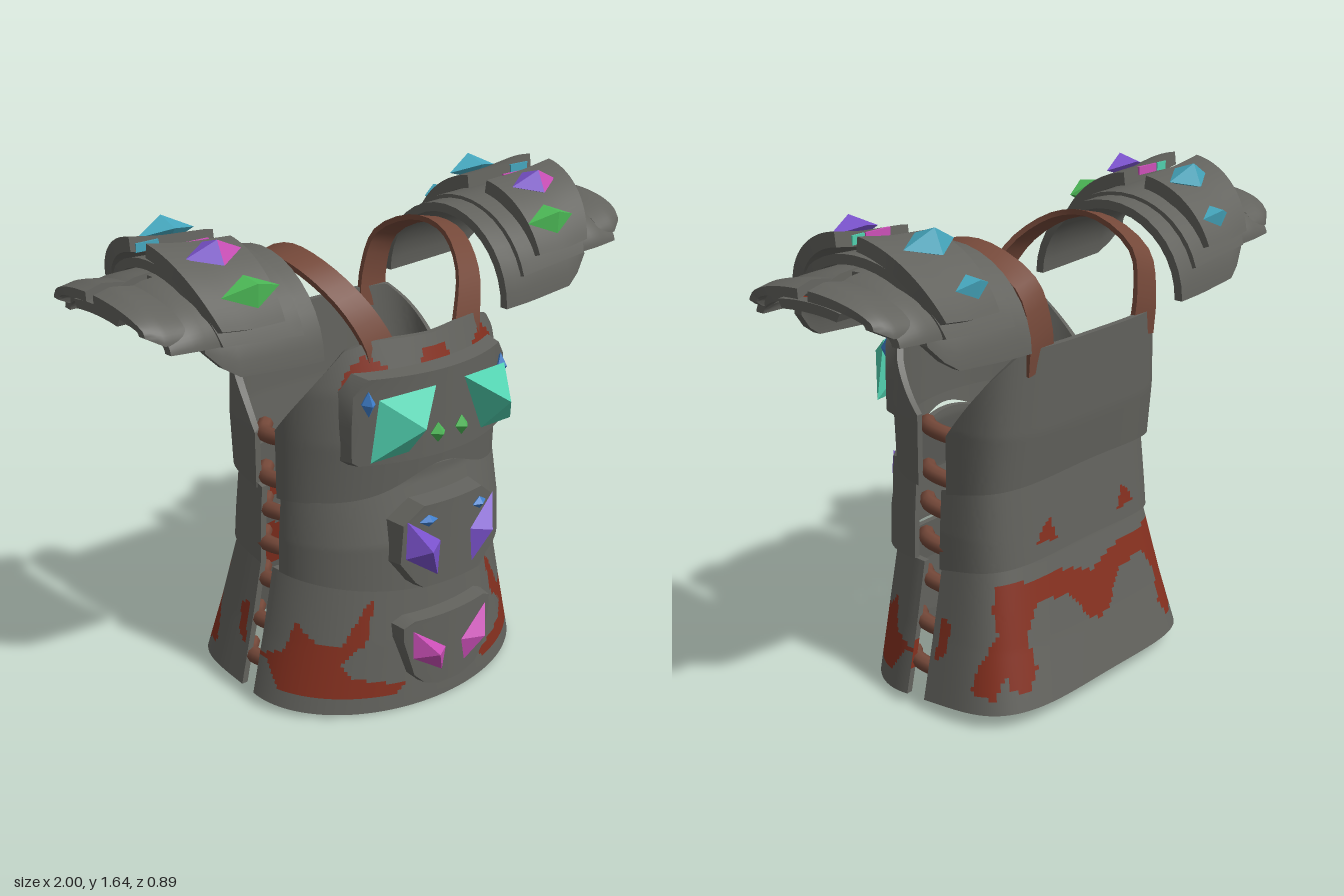
import * as THREE from 'three';
import { toCreasedNormals } from 'three/addons/utils/BufferGeometryUtils.js';

const material = (name, color) => Object.assign(new THREE.MeshStandardMaterial({ color }), { name });
const DEG = Math.PI / 180;

// Piecewise-linear lookup in rows [key, a, b, ...]
function rowAt(rows, key) {
  let i = 0;
  while (i < rows.length - 2 && key > rows[i + 1][0]) i++;
  const p = rows[i], q = rows[i + 1];
  const t = THREE.MathUtils.clamp((key - p[0]) / (q[0] - p[0]), 0, 1);
  return p.map((value, j) => value + (q[j] - value) * t);
}

// Closed curved plate: P(u, v, k) gives the outer (k = 0) and inner (k = 1) skin
function slab(P, nu, nv, stained = () => false) {
  const pts = [], groups = [[], []];
  for (let k = 0; k < 2; k++)
    for (let j = 0; j <= nv; j++)
      for (let i = 0; i <= nu; i++) pts.push(new THREE.Vector3(...P(i / nu, j / nv, k)));
  const id = (i, j, k) => (k * (nv + 1) + j) * (nu + 1) + i;
  const quad = (a, b, c, d) => {
    const mid = pts[a].clone().add(pts[b]).add(pts[c]).add(pts[d]).multiplyScalar(0.25);
    groups[stained(mid) ? 1 : 0].push(a, b, c, a, c, d);
  };
  for (let j = 0; j < nv; j++) {
    for (let i = 0; i < nu; i++) {
      quad(id(i, j, 0), id(i + 1, j, 0), id(i + 1, j + 1, 0), id(i, j + 1, 0));
      quad(id(i, j, 1), id(i, j + 1, 1), id(i + 1, j + 1, 1), id(i + 1, j, 1));
    }
    quad(id(0, j, 0), id(0, j + 1, 0), id(0, j + 1, 1), id(0, j, 1));
    quad(id(nu, j, 0), id(nu, j, 1), id(nu, j + 1, 1), id(nu, j + 1, 0));
  }
  for (let i = 0; i < nu; i++) {
    quad(id(i, 0, 0), id(i, 0, 1), id(i + 1, 0, 1), id(i + 1, 0, 0));
    quad(id(i, nv, 0), id(i + 1, nv, 0), id(i + 1, nv, 1), id(i, nv, 1));
  }
  // Turn the faces outward when the enclosed volume is negative
  const index = groups.flat(), cross = new THREE.Vector3();
  let volume = 0;
  for (let n = 0; n < index.length; n += 3)
    volume += pts[index[n]].dot(cross.crossVectors(pts[index[n + 1]], pts[index[n + 2]]));
  if (volume < 0)
    for (let n = 0; n < index.length; n += 3) [index[n], index[n + 1]] = [index[n + 1], index[n]];
  const geo = new THREE.BufferGeometry().setFromPoints(pts);
  geo.setIndex(index);
  geo.addGroup(0, groups[0].length, 0);
  if (groups[1].length) geo.addGroup(groups[0].length, groups[1].length, 1);
  return toCreasedNormals(geo, 0.6);
}

// Stain test: polygons in mirrored elevation, across x (front) or z (side)
const stain = (axis, ...polys) => p => polys.some(poly => {
  const x = Math.abs(p[axis]);
  let inside = false;
  poly.forEach(([ax, ay], i) => {
    const [bx, by] = poly[(i + 1) % poly.length];
    if ((ay > p.y) !== (by > p.y) && x < ax + (p.y - ay) / (by - ay) * (bx - ax)) inside = !inside;
  });
  return inside;
});

export function createModel() {
  const model = new THREE.Group();
  model.name = 'armour';
  const iron = material('dark iron', 0x62625d), rust = material('rust red', 0x85301f);
  const leather = material('brown leather', 0x744839), teal = material('teal crystal', 0x50cfae);
  const purple = material('purple crystal', 0x7a52cc), pink = material('pink crystal', 0xcc50b8);
  const green = material('green crystal', 0x4cb856), cyan = material('cyan crystal', 0x45a6bd);
  const blue = material('blue crystal', 0x3f7fcc);
  const add = (name, geo, mat) => {
    const mesh = new THREE.Mesh(geo, mat);
    mesh.name = name;
    model.add(mesh);
    return mesh;
  };

  // Torso shells: rows are [y, half width, depth from the edge plane z0]
  function shell(name, dir, z0, rows, bottom, top, stained) {
    const n = dir > 0 ? 2 : 4;
    add(name, slab((u, v, k) => {
      const a = (u * 2 - 1) * Math.PI / 2, s = Math.sin(a), c = Math.max(0, Math.cos(a));
      const r = (Math.abs(s) ** n + c ** n) ** (-1 / n);
      const y = THREE.MathUtils.lerp(bottom(c, Math.abs(a) / DEG), top(c, Math.abs(a) / DEG), v);
      const [, w, d] = rowAt(rows, y);
      return [(w - k * 0.022) * r * s, y, z0 + dir * (d - k * 0.022) * r * c];
    }, 110, 32, stained), [iron, rust]);
  }
  const chestTop = [[0, 1.265], [30, 1.275], [45, 1.25], [60, 1.16], [90, 0.97]];
  shell('frontChest', 1, 0.015, [[0.72, 0.435, 0.295], [0.95, 0.435, 0.315], [1.12, 0.435, 0.295], [1.28, 0.42, 0.245]],
    c => 0.735 + 0.03 * c + 0.08 * c ** 12, (c, a) => rowAt(chestTop, a)[1],
    stain('x', [[0.16, 1.17], [0.33, 1.12], [0.3, 1.19], [0.25, 1.235], [0.2, 1.21]],
      [[-0.01, 1.17], [0.07, 1.17], [0.04, 1.225], [-0.01, 1.23]]));
  shell('frontWaist', 1, 0.03, [[0.42, 0.445, 0.32], [0.6, 0.44, 0.315], [0.8, 0.425, 0.27]],
    c => 0.48 - 0.05 * c ** 2, c => 0.77 + 0.06 * c ** 8);
  shell('frontSkirt', 1, -0.01, [[0.01, 0.54, 0.37], [0.25, 0.485, 0.355], [0.5, 0.435, 0.33]],
    c => 0.04 - 0.035 * c, c => 0.48 - 0.06 * c ** 3,
    stain('x', [[0.24, 0.41], [0.28, 0.37], [0.35, 0.25], [0.42, 0.27], [0.44, 0.33], [0.47, 0.23], [0.5, 0.19],
      [0.505, 0.09], [0.33, 0.07], [0.2, 0.06], [0.16, 0.1], [0.24, 0.11], [0.33, 0.14], [0.36, 0.19], [0.28, 0.26]]));
  shell('backChest', -1, -0.1, [[0.7, 0.43, 0.23], [0.95, 0.43, 0.255], [1.24, 0.41, 0.265]],
    c => 0.73 + 0.06 * c, (c, a) => 1.225 - 0.3 * Math.max(0, a - 42) / 48);
  shell('backWaist', -1, -0.075, [[0.45, 0.44, 0.27], [0.6, 0.435, 0.255], [0.82, 0.42, 0.235]],
    c => 0.47 + 0.05 * c, c => 0.74 + 0.06 * c,
    stain('x', [[0.16, 0.56], [0.25, 0.57], [0.22, 0.62], [0.19, 0.64]]));
  const backStain = stain('x', [[-0.01, 0.4], [0.1, 0.44], [0.2, 0.46], [0.4, 0.45], [0.42, 0.3], [0.43, 0.13], [0.37, 0.11],
    [0.33, 0.18], [0.34, 0.28], [0.28, 0.38], [0.15, 0.37], [0.1, 0.33], [0.06, 0.26], [-0.01, 0.24]]);
  const sideStain = stain('z', [[0.1, 0.18], [0.14, 0.2], [0.15, 0.3], [0.11, 0.33]],
    [[0.26, 0.12], [0.34, 0.1], [0.36, 0.28], [0.32, 0.46], [0.28, 0.46], [0.28, 0.38], [0.31, 0.3], [0.27, 0.2]]);
  shell('backSkirt', -1, -0.08, [[0.03, 0.53, 0.37], [0.25, 0.48, 0.31], [0.52, 0.425, 0.245]],
    c => 0.04 + 0.025 * c, c => 0.48 + 0.05 * c, p => backStain(p) || sideStain(p));

  // Raised front panels: rows are [y, half width]
  function panel(name, rows, front, curve, depth) {
    const surface = x => front - curve * x * x;
    const mid = (rows[0][0] + rows[rows.length - 1][0]) / 2;
    add(name, slab((u, v, k) => {
      const [y, w] = rows[Math.round(v * (rows.length - 1))], shrink = k ? 1 : 0.95;
      const x = (u * 2 - 1) * w * shrink;
      return [x, mid + (y - mid) * shrink, surface(x) - k * depth];
    }, 16, rows.length - 1), iron);
    return surface;
  }
  const chestZ = panel('chestPanel', [[0.885, 0.32], [0.9, 0.34], [1.02, 0.34], [1.13, 0.335], [1.185, 0.29]], 0.355, 0.9, 0.07);
  const waistZ = panel('waistPanel', [[0.445, 0.13], [0.47, 0.16], [0.55, 0.215], [0.69, 0.205], [0.75, 0.13]], 0.392, 0.8, 0.07);
  const skirtZ = panel('skirtPanel', [[0.07, 0.06], [0.09, 0.12], [0.13, 0.16], [0.27, 0.2], [0.32, 0.2], [0.34, 0.16]], 0.39, 0.8, 0.07);

  // Faceted crystal: fans from an outline to an apex and a back point, one facet may have an accent colour
  function crystal(name, mat, outline, apex, back, accent) {
    const area = outline.reduce((sum, p, i) => {
      const q = outline[(i + 1) % outline.length];
      return sum + p[0] * q[1] - q[0] * p[1];
    }, 0);
    const ring = area > 0 ? outline : [...outline].reverse();
    const next = i => ring[(i + 1) % ring.length];
    const corners = [...ring.flatMap((p, i) => [p, next(i), apex]), ...ring.flatMap((p, i) => [next(i), p, back])];
    const geo = new THREE.BufferGeometry().setFromPoints(corners.map(p => new THREE.Vector3(...p)));
    geo.computeVertexNormals();
    for (let i = 0; i < ring.length * 2; i++) geo.addGroup(i * 3, 3, accent && i === ring.length - 1 ? 1 : 0);
    return add(name, geo, accent ? [mat, accent] : [mat]);
  }
  const diamond = (x, y, w, h) => [[x + w, y], [x, y + h], [x - w, y], [x, y - h]];

  for (const s of [1, -1]) {
    // Crystals of the front panels
    const stone = (name, mat, pts, surface, [ax, ay, az], lift = 0.005) =>
      crystal(name, mat, pts.map(([x, y]) => [s * x, y, surface(x) + lift]), [s * ax, ay, az], [s * ax, ay, surface(ax) - 0.03]);
    stone('chestCrystal', teal, [[0.06, 1.13], [0.265, 1.12], [0.3, 0.92], [0.155, 0.925]],
      x => Math.max(chestZ(x), 0.32), [0.18, 1.04, 0.448]);
    stone('chestSideCrystal', blue, diamond(0.28, 1.1, 0.02, 0.042), chestZ, [0.285, 1.1, 0.318], 0.008);
    stone('chestLowCrystal', green, diamond(0.05, 0.97, 0.028, 0.034), chestZ, [0.05, 0.97, 0.385]);
    stone('waistCrystal', purple, [[0.185, 0.7], [0.065, 0.61], [0.075, 0.49], [0.19, 0.57]], waistZ, [0.13, 0.6, 0.432]);
    stone('waistSmallCrystal', blue, diamond(0.11, 0.69, 0.034, 0.021), waistZ, [0.11, 0.69, 0.405]);
    stone('skirtCrystal', pink, [[0.16, 0.3], [0.035, 0.21], [0.05, 0.13], [0.16, 0.2]], skirtZ, [0.1, 0.22, 0.44]);

    // Shoulder strap
    const path = new THREE.CatmullRomCurve3([[0.165, 1.17, 0.245], [0.19, 1.27, 0.23], [0.25, 1.4, 0.165], [0.3, 1.495, 0.03],
      [0.305, 1.51, -0.13], [0.29, 1.42, -0.31], [0.27, 1.28, -0.35], [0.26, 1.15, -0.345]].map(p => new THREE.Vector3(...p)));
    const hub = new THREE.Vector3(0.25, 1.2, -0.06);
    add('strap', slab((u, v, k) => {
      const p = path.getPoint(v), out = p.clone().sub(hub).setX(0).normalize();
      p.addScaledVector(out, -0.018 * k);
      return [s * (p.x + (u - 0.5) * (0.12 - 0.035 * Math.sin(v * Math.PI))), p.y - (u - 0.5) * 0.02, p.z];
    }, 2, 24), leather);

    // Side lacing
    [[0.14, 0.48], [0.27, 0.45], [0.41, 0.42], [0.54, 0.415], [0.66, 0.405], [0.77, 0.4], [0.92, 0.4]].forEach(([y, x]) => {
      const lace = new THREE.CatmullRomCurve3([[x - 0.05, y, 0.05], [x - 0.012, y + 0.005, 0.01], [x, y, -0.05],
        [x - 0.012, y - 0.005, -0.11], [x - 0.05, y, -0.15]].map(p => new THREE.Vector3(s * p[0], p[1], p[2])));
      add('sideLace', new THREE.TubeGeometry(lace, 12, 0.027, 8), leather);
    });

    // Shoulder plates: rows are [x, base y, rise, half span]; angles sweep front to back
    const plate = (name, rows, from, to, thick, taper, stained) => add(name, slab((u, v, k) => {
      const x0 = rows[0][0], x1 = rows[rows.length - 1][0];
      const a = THREE.MathUtils.lerp(from, to, u) * DEG;
      const [x, y, h, r] = rowAt(rows, x0 + (x1 - x0) * v);
      return [s * (x0 + (x - x0) * (1 - taper * Math.min(1, Math.abs(a) / 1.3) ** 2)),
        y + (h - k * thick) * Math.cos(a), -0.1 + (r - k * thick) * Math.sin(a)];
    }, 18, 8, stained), [iron, rust]);
    plate('shoulderBase', [[0.385, 1.245, 0.295, 0.31], [0.5, 1.25, 0.295, 0.31], [0.71, 1.265, 0.265, 0.3], [0.79, 1.35, 0.17, 0.27]],
      -90, 90, 0.03, 0);
    plate('shoulderMiddle', [[0.46, 1.27, 0.285, 0.32], [0.8, 1.3, 0.27, 0.315]], -75, 75, 0.03, 0.15);
    plate('shoulderRidge', [[0.72, 1.36, 0.14, 0.27], [0.86, 1.36, 0.12, 0.27], [0.98, 1.39, 0.08, 0.25]], -30, 30, 0.03, 0,
      p => Math.abs(p.z + 0.1) < 0.06 && Math.abs(p.x) > 0.87 && Math.abs(p.x) < 0.95);
    for (const f of [1, -1]) {
      plate('shoulderTop', [[0.53, 1.28, 0.33, 0.335], [0.7, 1.28, 0.34, 0.34], [0.83, 1.285, 0.355, 0.335]], f * 8, f * 68, 0.045, 0.3);
      plate('shoulderFlap', [[0.73, 1.36, 0.17, 0.29], [0.84, 1.37, 0.15, 0.3], [0.94, 1.375, 0.11, 0.29]], f * 4, f * 88, 0.03, 0.1);
      plate('shoulderOuterFlap', [[0.85, 1.4, 0.11, 0.28], [0.94, 1.4, 0.125, 0.28], [1.0, 1.43, 0.08, 0.25]], f * 5, f * 88, 0.03, 0.15);
    }

    // Coloured strips on the edges facing the gap between the top plates
    [[0.66, 0.1, 1, pink], [0.74, 0.05, 1, teal], [0.77, 0.08, -1, cyan]].forEach(([x, w, f, mat]) =>
      add('edgeStrip', new THREE.BoxGeometry(w, 0.028, 0.009), mat).position.set(s * x, 1.6, -0.1 + f * 0.044));

    // Shoulder crystals: [name, x, angle, half width, half length, height, colours]
    [['shoulderCrystal', 0.66, 24, 0.1, 0.06, 0.055, purple, pink], ['shoulderFrontCrystal', 0.62, 50, 0.105, 0.055, 0.055, green],
      ['shoulderRearCrystal', 0.64, -24, 0.105, 0.06, 0.06, cyan], ['shoulderLowRearCrystal', 0.61, -53, 0.07, 0.04, 0.045, cyan],
    ].forEach(([name, x, angle, w, l, h, mat, accent]) => {
      const a = angle * DEG;
      const gem = crystal(name, mat, diamond(0, 0, w, l).map(p => [...p, 0.004]), [0, 0, h], [0, 0, -0.03], accent);
      gem.position.set(s * x, 1.28 + 0.342 * Math.cos(a), -0.1 + 0.343 * Math.sin(a));
      gem.rotation.x = a - Math.PI / 2;
    });
  }
  return model;
}
